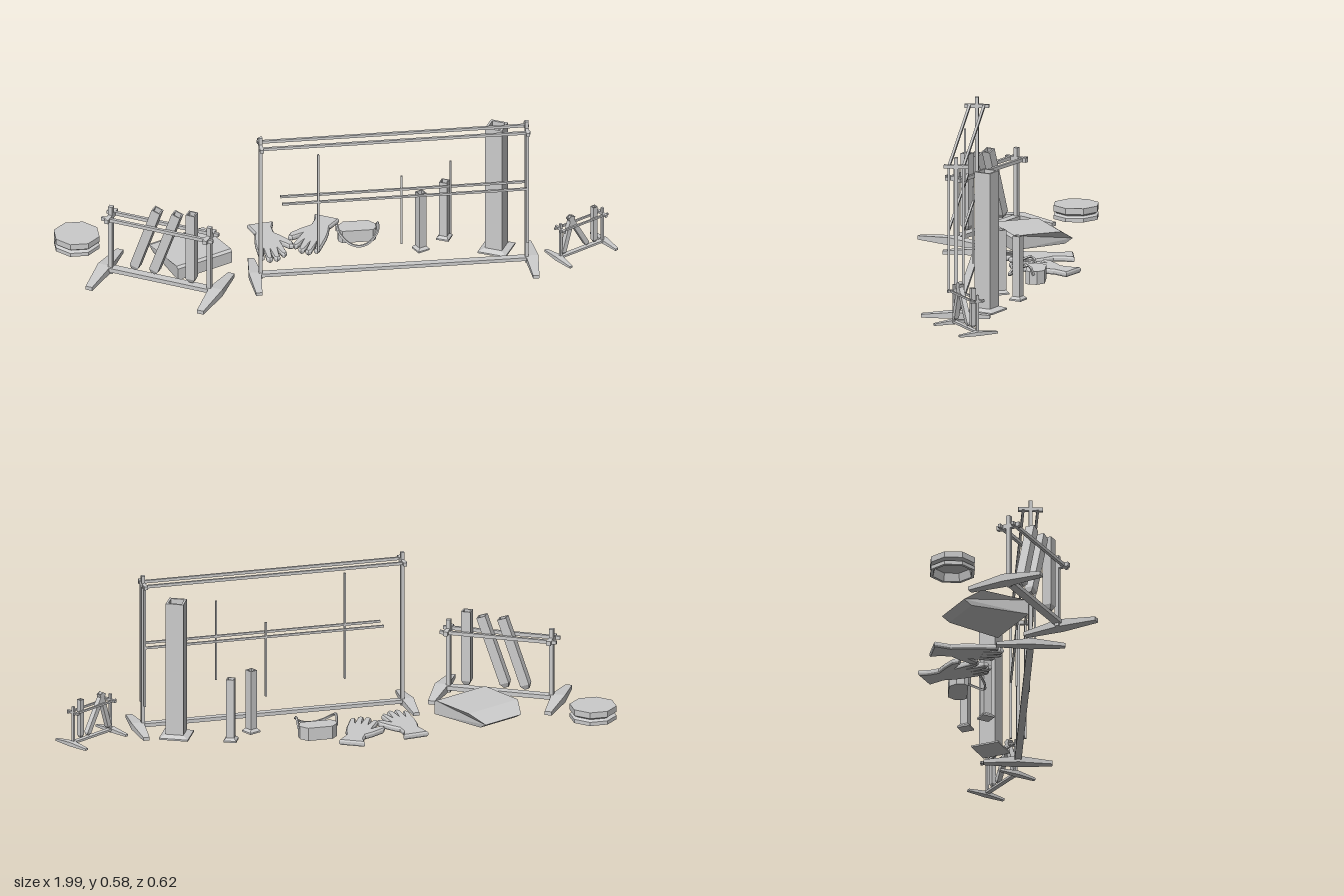
import * as THREE from 'three';

const mat = new THREE.MeshStandardMaterial({ color: 0xcccccc, flatShading: true, side: THREE.DoubleSide });

function add(parent, name, geo, x = 0, y = 0, z = 0, ry = 0) {
  const m = new THREE.Mesh(geo, mat);
  m.name = name;
  m.position.set(x, y, z);
  m.rotation.y = ry;
  parent.add(m);
  return m;
}

const box = (w, h, d) => new THREE.BoxGeometry(w, h, d);

// Lathe with flat sides; four sides give a square column of half-width r
function prism(points, sides) {
  const k = 1 / Math.cos(Math.PI / sides);
  const pts = points.map(([r, y]) => new THREE.Vector2(r * k, y));
  return new THREE.LatheGeometry(pts, sides).rotateY(Math.PI / sides);
}

// Foot that thins toward both ends
function footGeometry(width, height, length) {
  const g = new THREE.BoxGeometry(width, height, length, 1, 1, 2).translate(0, height / 2, 0);
  const p = g.attributes.position;
  for (let i = 0; i < p.count; i++) {
    if (Math.abs(p.getZ(i)) > length * 0.4) {
      p.setX(i, p.getX(i) * 0.5);
      p.setY(i, p.getY(i) * 0.5);
    }
  }
  return g;
}

// Stand: two feet, two posts with cross arms, a base beam and twin rails
function makeRack(name, o) {
  const g = new THREE.Group();
  g.name = name;
  for (const s of [-1, 1]) {
    add(g, 'foot', footGeometry(o.footWidth, o.footHeight, o.footLength), s * o.foot, 0, 0);
    add(g, 'post', box(o.bar, o.height, o.bar), s * o.post, o.height / 2, 0);
    add(g, 'crossArm', box(o.bar, o.bar, o.arm), s * o.post, o.railY, 0);
    add(g, 'rail', box(o.post * 2 + o.over, o.bar * 0.8, o.bar * 0.7), 0, o.railY, s * o.gap);
  }
  add(g, 'baseBeam', box(o.foot * 2, o.footHeight * 0.55, o.bar * 1.9), 0, o.footHeight * 0.65, 0);
  return g;
}

// Square tube with a tapered end, running from (t0,y0) to (t1,y1) in the rack plane
function addTube(rack, w, t0, y0, t1, y1) {
  const h = w / 2, len = Math.hypot(t1 - t0, y1 - y0);
  const geo = prism([[0, 0], [h * 0.5, 0], [h, h], [h, len], [h * 0.72, len], [h * 0.72, h], [0, h * 0.7]], 4);
  add(rack, 'testTube', geo, t0, y0, 0).rotation.z = -Math.atan2(t1 - t0, y1 - y0);
}

// Hollow square measuring column on a flared foot
function addColumn(parent, w, foot, h, x, z, ry) {
  const a = w / 2, f = foot / 2;
  const geo = prism([[0, 0.002], [a * 0.9, 0.002], [f, 0], [f, 0.006], [a, 0.015], [a, h],
    [a * 0.75, h], [a * 0.75, 0.02], [0, 0.02]], 4);
  add(parent, 'measuringColumn', geo, x, 0, z, ry);
}

// Glove outline; wrist at the back (-z), thumb toward +x
function gloveGeometry() {
  const pts = [[-0.045, 0.13], [0.048, 0.135], [0.036, 0.1], [0.036, 0.06], [0.06, 0.03], [0.088, -0.015],
    [0.087, -0.04], [0.072, -0.04], [0.045, -0.005], [0.054, -0.085], [0.044, -0.098], [0.035, -0.09], [0.026, -0.045],
    [0.024, -0.11], [0.012, -0.12], [0.003, -0.11], [0.0, -0.05], [-0.004, -0.115], [-0.016, -0.122],
    [-0.024, -0.11], [-0.022, -0.045], [-0.032, -0.1], [-0.043, -0.1], [-0.048, -0.09],
    [-0.045, -0.01], [-0.04, 0.03], [-0.03, 0.07]];
  const shape = new THREE.Shape(pts.map(([x, y]) => new THREE.Vector2(x, y)));
  return new THREE.ExtrudeGeometry(shape, {
    depth: 0.008, bevelThickness: 0.006, bevelSize: 0.004, bevelOffset: -0.003, bevelSegments: 1,
  }).rotateX(-Math.PI / 2).translate(0, 0.007, 0);
}

export function createModel() {
  const model = new THREE.Group();
  model.name = 'laboratorySet';

  // Wide stand
  const stand = makeRack('wideStand', {
    foot: 0.497, footWidth: 0.045, footHeight: 0.024, footLength: 0.246, post: 0.4775,
    height: 0.58, bar: 0.013, arm: 0.088, railY: 0.547, gap: 0.026, over: 0.02,
  });
  stand.position.set(0.1835, 0, 0.072);
  model.add(stand);
  for (const s of [-1, 1]) {
    add(stand, 'middleRail', box(0.88, 0.008, 0.008), 0.037, 0.315, s * 0.026);
    add(stand, 'hangingRod', box(0.008, 0.45, 0.008), 0.4775, 0.318, s * 0.026);
  }
  for (const [x, y0, y1, s] of [[-0.09, 0.11, 0.51, 1], [0.215, 0.09, 0.37, -1], [0.385, 0.15, 0.45, 1]])
    add(stand, 'thinRod', box(0.007, y1 - y0, 0.007), x - 0.1835, (y0 + y1) / 2, s * 0.026);

  // Large tube rack
  const large = makeRack('largeTubeRack', {
    foot: 0.215, footWidth: 0.05, footHeight: 0.028, footLength: 0.287, post: 0.19,
    height: 0.275, bar: 0.016, arm: 0.09, railY: 0.234, gap: 0.026, over: 0.05,
  });
  large.position.set(-0.653, 0, 0.065);
  large.rotation.y = -0.52;
  addTube(large, 0.034, -0.1, 0.04, -0.01, 0.3);
  addTube(large, 0.034, -0.025, 0.04, 0.067, 0.3);
  addTube(large, 0.034, 0.122, 0.035, 0.122, 0.315);
  model.add(large);

  // Small tube rack
  const small = makeRack('smallTubeRack', {
    foot: 0.102, footWidth: 0.025, footHeight: 0.015, footLength: 0.15, post: 0.093,
    height: 0.145, bar: 0.009, arm: 0.055, railY: 0.122, gap: 0.015, over: 0.03,
  });
  small.position.set(0.863, 0, 0.022);
  small.rotation.y = 0.53;
  addTube(small, 0.018, -0.085, 0.02, -0.042, 0.16);
  addTube(small, 0.018, 0.025, 0.02, -0.055, 0.16);
  addTube(small, 0.018, 0.057, 0.02, 0.057, 0.163);
  model.add(small);

  // Measuring columns
  addColumn(model, 0.064, 0.105, 0.51, 0.565, -0.03, -0.47);
  addColumn(model, 0.029, 0.046, 0.235, 0.297, -0.06, 0.45);
  addColumn(model, 0.029, 0.046, 0.235, 0.39, -0.128, -0.45);

  // Eight-sided dish with a waist, open below
  add(model, 'dish', prism([[0, 0.05], [0.078, 0.05], [0.078, 0.028], [0.066, 0.02], [0.078, 0.014],
    [0.078, 0], [0.068, 0], [0.062, 0.03], [0, 0.03]], 8), -0.916, 0, -0.235);

  // Low case with a sloping, narrowing back
  const caseShape = new THREE.Shape([[-0.094, 0], [0.12, 0], [0.15, 0.018], [0.094, 0.053], [-0.085, 0.053],
    [-0.094, 0.045]].map(([x, y]) => new THREE.Vector2(x, y)));
  const caseGeo = new THREE.ExtrudeGeometry(caseShape, { depth: 0.23, bevelEnabled: false })
    .translate(0, 0, -0.115).rotateY(Math.PI / 2);
  const cp = caseGeo.attributes.position;
  for (let i = 0; i < cp.count; i++) if (cp.getZ(i) < -0.11) cp.setX(i, cp.getX(i) * 0.72);
  add(model, 'lowCase', caseGeo, -0.525, 0, -0.083, 0.45);

  // Pair of gloves
  add(model, 'glove', gloveGeometry(), -0.243, 0, -0.145, 0.08);
  add(model, 'glove', gloveGeometry().scale(-1, 1, 1), -0.068, 0, -0.175, -0.45);

  // Goggles: curved mask and loose strap
  const goggles = new THREE.Group();
  goggles.name = 'goggles';
  goggles.position.set(0.08, 0, -0.165);
  const mask = new THREE.Shape([[-0.068, -0.015], [-0.055, -0.03], [0.055, -0.03], [0.068, -0.015],
    [0.068, 0.012], [0.045, 0.038], [-0.045, 0.038], [-0.068, 0.012]].map(([x, y]) => new THREE.Vector2(x, y)));
  add(goggles, 'mask', new THREE.ExtrudeGeometry(mask, { depth: 0.048, bevelEnabled: false })
    .rotateX(-Math.PI / 2));
  const strapPath = new THREE.CatmullRomCurve3([[-0.07, 0.035, 0], [-0.073, 0.07, 0.016], [-0.068, 0.055, 0.055],
    [-0.035, 0.028, 0.085], [0, 0.02, 0.093], [0.035, 0.028, 0.085], [0.068, 0.055, 0.055],
    [0.073, 0.07, 0.016], [0.07, 0.035, 0]].map((p) => new THREE.Vector3(...p)));
  add(goggles, 'strap', new THREE.TubeGeometry(strapPath, 24, 0.005, 4));
  model.add(goggles);

  return model;
}
